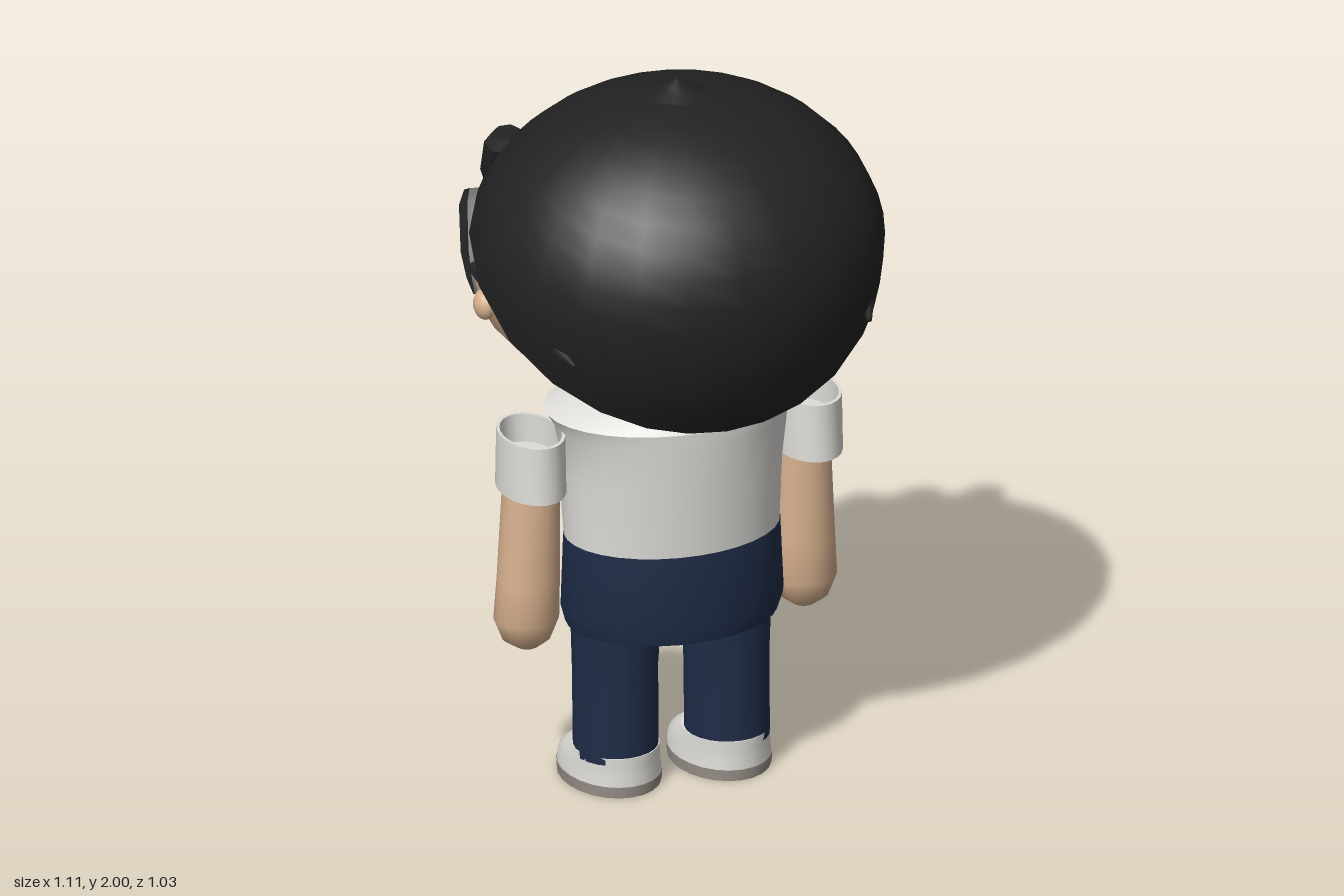
import * as THREE from 'three';
import { toCreasedNormals } from 'three/addons/utils/BufferGeometryUtils.js';

const mat = (name, color) => {
  const m = new THREE.MeshStandardMaterial({ color });
  m.name = name;
  return m;
};

// Stacked ellipse sections, listed upward as [y, rx, rz, cz, cx], capped at both ends
function loft(sections, sides = 24, crease = 0.7) {
  const pos = [], idx = [];
  sections.forEach(([y, rx, rz, cz = 0, cx = 0]) => {
    for (let j = 0; j < sides; j++) {
      const a = (j / sides) * Math.PI * 2;
      pos.push(cx + rx * Math.cos(a), y, cz + rz * Math.sin(a));
    }
  });
  const last = sections.length - 1;
  for (const i of [0, last]) pos.push(sections[i][4] || 0, sections[i][0], sections[i][3] || 0);
  const bottom = (last + 1) * sides, top = bottom + 1;
  for (let j = 0; j < sides; j++) {
    const k = (j + 1) % sides;
    for (let i = 0; i < last; i++) {
      const a = i * sides, b = a + sides;
      idx.push(a + j, b + j, a + k, b + j, b + k, a + k);
    }
    idx.push(bottom, j, k, top, last * sides + k, last * sides + j);
  }
  const g = new THREE.BufferGeometry();
  g.setAttribute('position', new THREE.Float32BufferAttribute(pos, 3));
  g.setIndex(idx);
  return toCreasedNormals(g, crease);
}

// Height of the hairline at depth z: high over the forehead, low at the nape
const HAIRLINE = [[-0.6, 1.76], [-0.43, 1.71], [-0.18, 1.62], [-0.02, 1.51], [0.1, 1.41], [0.275, 1.26], [0.375, 1.15], [0.6, 0.85]];
function hairline(z) {
  for (let i = 1; i < HAIRLINE.length; i++) {
    const [z0, y0] = HAIRLINE[i - 1], [z1, y1] = HAIRLINE[i];
    if (z <= z1) return y0 + ((y1 - y0) * (z - z0)) / (z1 - z0);
  }
  return 0.85;
}

// Dome trimmed along the hairline
function hairCap() {
  const sides = 24, rows = 14, pos = [], idx = [];
  const point = (a, t) => {
    const c = Math.cos(t), s = Math.sin(t);
    return [0.55 * s * Math.cos(a), 1.53 + (c > 0 ? 0.435 : 0.556) * c, 0.515 * s * Math.sin(a)];
  };
  for (let j = 0; j < sides; j++) {
    const a = (j / sides) * Math.PI * 2;
    let lo = 0.2, hi = 2.9;
    for (let n = 0; n < 30; n++) {
      const mid = (lo + hi) / 2, p = point(a, mid);
      if (p[1] > hairline(p[2])) lo = mid; else hi = mid;
    }
    for (let i = 0; i <= rows; i++) pos.push(...point(a, (lo * i) / rows));
  }
  for (let j = 0; j < sides; j++) {
    const a = j * (rows + 1), b = ((j + 1) % sides) * (rows + 1);
    for (let i = 0; i < rows; i++) {
      if (i) idx.push(a + i, b + i, a + i + 1);
      idx.push(b + i, b + i + 1, a + i + 1);
    }
  }
  const g = new THREE.BufferGeometry();
  g.setAttribute('position', new THREE.Float32BufferAttribute(pos, 3));
  g.setIndex(idx);
  return toCreasedNormals(g, 1);
}

export function createModel() {
  const root = new THREE.Group();
  root.name = 'child';
  const hair = mat('hair black', 0x222222);
  hair.side = THREE.DoubleSide;
  const skin = mat('skin', 0xdab391);
  const white = mat('shirt white', 0xdfddd9);
  const navy = mat('navy cloth', 0x1f2c48);
  const sole = mat('sole grey', 0x968e87);
  const black = mat('eye black', 0x151515);

  const add = (name, geo, material, parent = root) => {
    const m = new THREE.Mesh(geo, material);
    m.name = name;
    parent.add(m);
    return m;
  };
  const ball = (name, material, p, s, yaw = 0) => {
    const m = add(name, new THREE.SphereGeometry(1, 14, 10), material);
    m.position.set(...p);
    m.scale.set(...s);
    m.rotation.y = yaw;
    return m;
  };
  // Tapered hair strand between two points
  const strand = (name, from, to, r, flat = 0.8) => {
    const a = new THREE.Vector3(...from), d = new THREE.Vector3(...to).sub(a), L = d.length();
    const rings = [[0, 0.65], [0.15, 1], [0.6, 0.95], [0.85, 0.6], [1, 0.2]].map(([t, k]) => [t * L, r * k, r * k * flat]);
    const m = add(name, loft(rings, 7, 0.4), hair);
    m.position.copy(a);
    m.quaternion.setFromUnitVectors(new THREE.Vector3(0, 1, 0), d.normalize());
  };

  // Head and neck
  add('head', loft([
    [1.215, 0.22, 0.2, -0.045], [1.25, 0.33, 0.28, -0.03], [1.28, 0.43, 0.4, -0.02],
    [1.36, 0.5, 0.475, -0.015], [1.45, 0.53, 0.49, -0.005], [1.53, 0.532, 0.493], [1.67, 0.5, 0.463],
    [1.8, 0.4, 0.37], [1.88, 0.28, 0.26], [1.93, 0.1, 0.1]], 32, 1.2), skin);
  add('neck', loft([[1.1, 0.185, 0.165, -0.04], [1.16, 0.185, 0.165, -0.04], [1.225, 0.215, 0.2, -0.045]]), skin);

  // Hair
  add('hairCap', hairCap(), hair);
  const peak = [[0.13, 1.94], [0.06, 1.968], [0.03, 1.985], [0, 2]].map(p => new THREE.Vector2(...p));
  add('hairPeak', new THREE.LatheGeometry(peak, 16), hair);
  for (const i of [-2, -1, 0, 1, 2]) {
    const z = 0.014 * i * i;
    strand('fringe', [i * 0.165, 1.76 - 0.005 * i * i, -0.425 + z], [i * 0.168, 1.54, -0.49 + z], 0.06);
  }
  for (const s of [-1, 1]) {
    strand('templeLock', [s * 0.46, 1.64, -0.27], [s * 0.515, 1.42, -0.11], 0.042);
    strand('sideLock', [s * 0.525, 1.505, -0.1], [s * 0.41, 1.385, 0.34], 0.032);
  }

  // Face
  const onFace = x => -0.005 - 0.49 * Math.sqrt(1 - (x / 0.53) ** 2);
  for (const s of [-1, 1]) {
    const x = s * 0.17, z = onFace(x), yaw = Math.atan2(x / 0.28, z / 0.24);
    ball('eye', black, [x, 1.445, z], [0.027, 0.055, 0.009], yaw);
    ball('eyeHighlight', white, [x + 0.008, 1.468, z - 0.007], [0.009, 0.014, 0.005], yaw);
    const lash = add('eyelash', new THREE.TorusGeometry(0.045, 0.006, 5, 12, Math.PI * 0.8), black);
    lash.position.set(x, 1.465, z - 0.003);
    lash.rotation.set(0, yaw, Math.PI * 0.1, 'YXZ');
    ball('cheek', skin, [s * 0.345, 1.4, -0.365], [0.024, 0.02, 0.014], Math.atan2(s * 1.25, -1.5));
    ball('ear', skin, [s * 0.525, 1.43, -0.02], [0.03, 0.042, 0.04]);
  }
  ball('nose', skin, [0, 1.4, -0.495], [0.018, 0.016, 0.018]);
  ball('mouth', black, [0, 1.35, -0.488], [0.034, 0.014, 0.008]);

  // Torso
  add('shirt', loft([
    [0.7, 0.29, 0.213, -0.033], [0.9, 0.3, 0.23, -0.04], [1.03, 0.315, 0.244, -0.043],
    [1.07, 0.34, 0.247, -0.045], [1.14, 0.2, 0.178, -0.042]], 32), white);
  add('shorts', loft([
    [0.46, 0.285, 0.215, -0.035], [0.51, 0.3, 0.22, -0.03], [0.71, 0.292, 0.215, -0.033]], 32), navy);

  // Limbs, mirrored
  const ring = [[0.88, 0.87], [1, 0.87], [0.97, 1.03], [0.88, 1.03], [0.88, 0.87]].map(p => new THREE.Vector2(...p));
  for (const s of [-1, 1]) {
    const side = new THREE.Group();
    side.name = s > 0 ? 'leftLimbs' : 'rightLimbs';
    root.add(side);

    const sleeve = add('sleeve', toCreasedNormals(new THREE.LatheGeometry(ring, 24), 0.6), white, side);
    sleeve.scale.set(0.087, 1, 0.127);
    sleeve.position.set(s * 0.385, 0, -0.052);
    const lining = add('sleeveLining', new THREE.CylinderGeometry(0.9, 0.9, 0.02, 24), white, side);
    lining.scale.set(0.087, 1, 0.127);
    lining.position.set(s * 0.385, 0.94, -0.052);

    add('arm', loft([
      [0.405, 0.03, 0.03, -0.08, s * 0.385], [0.43, 0.065, 0.06, -0.08, s * 0.387], [0.485, 0.087, 0.078, -0.08, s * 0.387],
      [0.6, 0.083, 0.08, -0.076, s * 0.383], [0.94, 0.073, 0.076, -0.07, s * 0.376]], 20, 1), skin, side);
    add('leg', loft([
      [0.09, 0.112, 0.112, -0.035, s * 0.155], [0.33, 0.113, 0.113, -0.04, s * 0.155],
      [0.48, 0.12, 0.118, -0.038, s * 0.153]]), navy, side);

    // Shoe with a tongue wrapping the front of the shin
    const tongue = add('shoeTongue', new THREE.CylinderGeometry(0.118, 0.118, 0.13, 16, 1, true, Math.PI - 1.05, 2.1), white, side);
    tongue.position.set(s * 0.155, 0.15, -0.035);
    add('shoe', loft([
      [0.028, 0.131, 0.171, -0.088], [0.06, 0.128, 0.167, -0.087], [0.085, 0.122, 0.147, -0.067],
      [0.11, 0.115, 0.125, -0.045]]), white, side).position.x = s * 0.153;
    add('shoeSole', loft([[0, 0.131, 0.172, -0.088], [0.03, 0.133, 0.173, -0.088]]), sole, side).position.x = s * 0.153;
  }
  return root;
}
